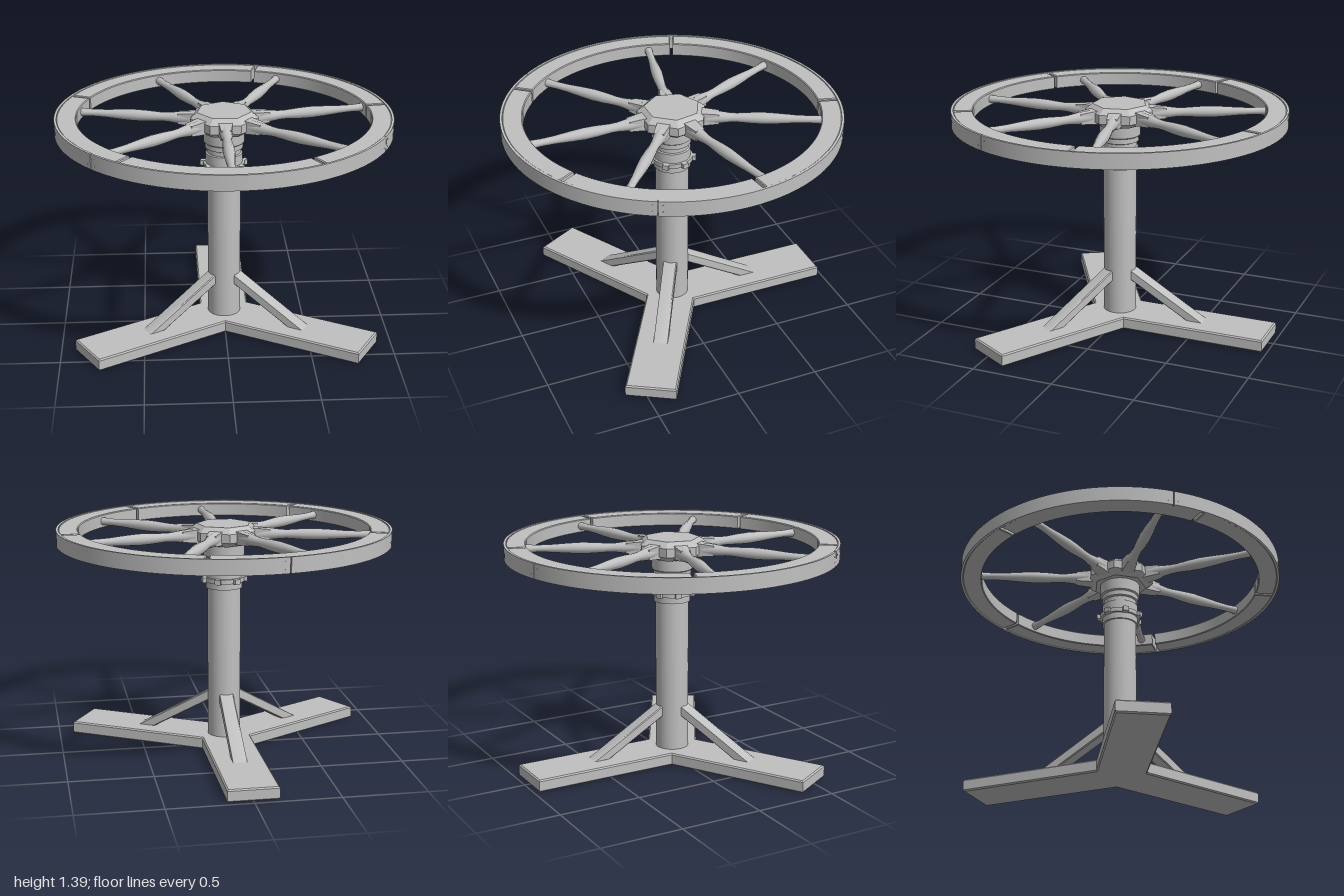
import * as THREE from 'three';
import { toCreasedNormals } from 'three/addons/utils/BufferGeometryUtils.js';

const TAU = Math.PI * 2;
const rad = THREE.MathUtils.degToRad;

export function createModel() {
  const model = new THREE.Group();
  const grey = new THREE.MeshStandardMaterial({ color: 0xc0c0c0 });
  grey.name = 'plain grey';

  const add = (name, geometry, parent = model, crease = 0.5) => {
    const mesh = new THREE.Mesh(toCreasedNormals(geometry, crease), grey);
    mesh.name = name;
    parent.add(mesh);
    return mesh;
  };
  const lathe = (points, sides) =>
    new THREE.LatheGeometry(points.map(([r, y]) => new THREE.Vector2(r, y)), sides);

  // Extrusion whose chamfer stays inside the outline and the given depth
  const extrude = (shape, depth, bevel, curveSegments = 24) => {
    const g = new THREE.ExtrudeGeometry(shape, {
      depth: depth - 2 * bevel, curveSegments, bevelEnabled: bevel > 0,
      bevelSize: bevel, bevelThickness: bevel, bevelOffset: -bevel, bevelSegments: 1,
    });
    return g.translate(0, 0, bevel);
  };
  // Lays an outline drawn as (x, z) flat, with its upper face at y = top
  const slab = (shape, bottom, top, bevel) =>
    extrude(shape, top - bottom, bevel).rotateX(Math.PI / 2).translate(0, top, 0);

  const arcShape = (inner, outer, from, to, gap) => {
    const s = new THREE.Shape();
    s.absarc(0, 0, outer, from + gap / outer, to - gap / outer, false);
    s.absarc(0, 0, inner, to - gap / inner, from + gap / inner, true);
    s.closePath();
    return s;
  };

  // Three-legged foot in one piece
  const legAngles = [-90, 30, 150].map(rad);
  const half = 0.15, reach = 0.97;
  const outline = [];
  for (const a of legAngles) {
    const c = Math.cos(a), s = Math.sin(a);
    outline.push(new THREE.Vector2(reach * c + half * s, reach * s - half * c));
    outline.push(new THREE.Vector2(reach * c - half * s, reach * s + half * c));
    const notch = half / Math.sin(Math.PI / 3), b = a + Math.PI / 3;
    outline.push(new THREE.Vector2(notch * Math.cos(b), notch * Math.sin(b)));
  }
  add('foot', slab(new THREE.Shape(outline), 0, 0.075, 0.008));

  // Diagonal braces from the post down to each leg
  const braceShape = new THREE.Shape(
    [[0.07, 0.295], [0.46, 0.07], [0.565, 0.07], [0.095, 0.348], [0.07, 0.348]]
      .map(([x, y]) => new THREE.Vector2(x, y)));
  for (const a of legAngles) {
    const brace = add('brace', extrude(braceShape, 0.085, 0.006).translate(0, 0, -0.0425));
    brace.rotation.y = -a;
  }

  // Post and its stepped collar
  add('post', lathe([[0, 0.06], [0.1, 0.06], [0.1, 1.02], [0, 1.02]], 48));
  add('collar', lathe([
    [0, 1.003], [0.11, 1.003], [0.11, 1.13], [0.102, 1.135], [0.102, 1.16],
    [0.113, 1.165], [0.113, 1.195], [0.122, 1.202], [0.125, 1.29], [0, 1.29],
  ], 48));
  add('clampRing', lathe([[0.1, 1.043], [0.124, 1.043], [0.124, 1.07], [0.1, 1.07]], 48));
  for (let i = 0; i < 7; i++) {
    const lug = new THREE.BoxGeometry(0.04, 0.03, 0.035).translate(0.123, 1.056, 0);
    add('clampLug', lug).rotation.y = (i / 7) * TAU - Math.PI / 2;
  }

  // Seven-sided hub with chamfered faces
  const hub = add('hub', lathe([
    [0, 1.275], [0.165, 1.275], [0.18, 1.285], [0.208, 1.305],
    [0.208, 1.358], [0.165, 1.391], [0, 1.391],
  ], 7), model, 0.3);
  hub.rotation.y = -Math.PI / 7;

  // Seven turned spokes, each with a square root at the hub
  const spokeProfile = [
    [0, 0.2], [0.04, 0.2], [0.037, 0.27], [0.028, 0.34], [0.027, 0.38], [0.033, 0.47],
    [0.035, 0.54], [0.031, 0.62], [0.024, 0.72], [0.022, 0.8], [0.026, 0.89], [0, 0.89],
  ];
  for (let i = 0; i < 7; i++) {
    const spoke = new THREE.Group();
    spoke.name = 'spoke';
    spoke.rotation.y = (i / 7) * TAU;
    spoke.position.y = 1.33;
    add('spokeShaft', lathe(spokeProfile, 12).rotateX(Math.PI / 2), spoke, 0.7);
    const root = new THREE.CylinderGeometry(0.044, 0.06, 0.13, 4, 1).rotateY(Math.PI / 4);
    add('spokeRoot', root.rotateX(Math.PI / 2).translate(0, 0, 0.21), spoke);
    model.add(spoke);
  }

  // Rim made of five curved blocks with open joints
  const joints = [-74.7, -7.3, 59.7, 128.5, 202.5, 285.3].map(rad);
  for (let i = 0; i < 5; i++) {
    const block = arcShape(0.87, 0.986, joints[i], joints[i + 1], 0.009);
    add('rimBlock', slab(block, 1.288, 1.372, 0.005));
  }

  // Thin outer band in three lengths, riveted near the ends
  const seams = [-101, 27, 139.5, 259].map(rad);
  for (let i = 0; i < 3; i++) {
    add('outerBand', slab(arcShape(0.985, 1, seams[i], seams[i + 1], 0.003), 1.285, 1.375, 0));
    for (const side of [-1, 1]) for (const y of [1.31, 1.35]) {
      const rivet = new THREE.CylinderGeometry(0.005, 0.005, 0.004, 8).rotateZ(-Math.PI / 2);
      add('rivet', rivet.translate(0.999, y, 0)).rotation.y = -(seams[i] + side * 0.03);
    }
  }
  return model;
}
